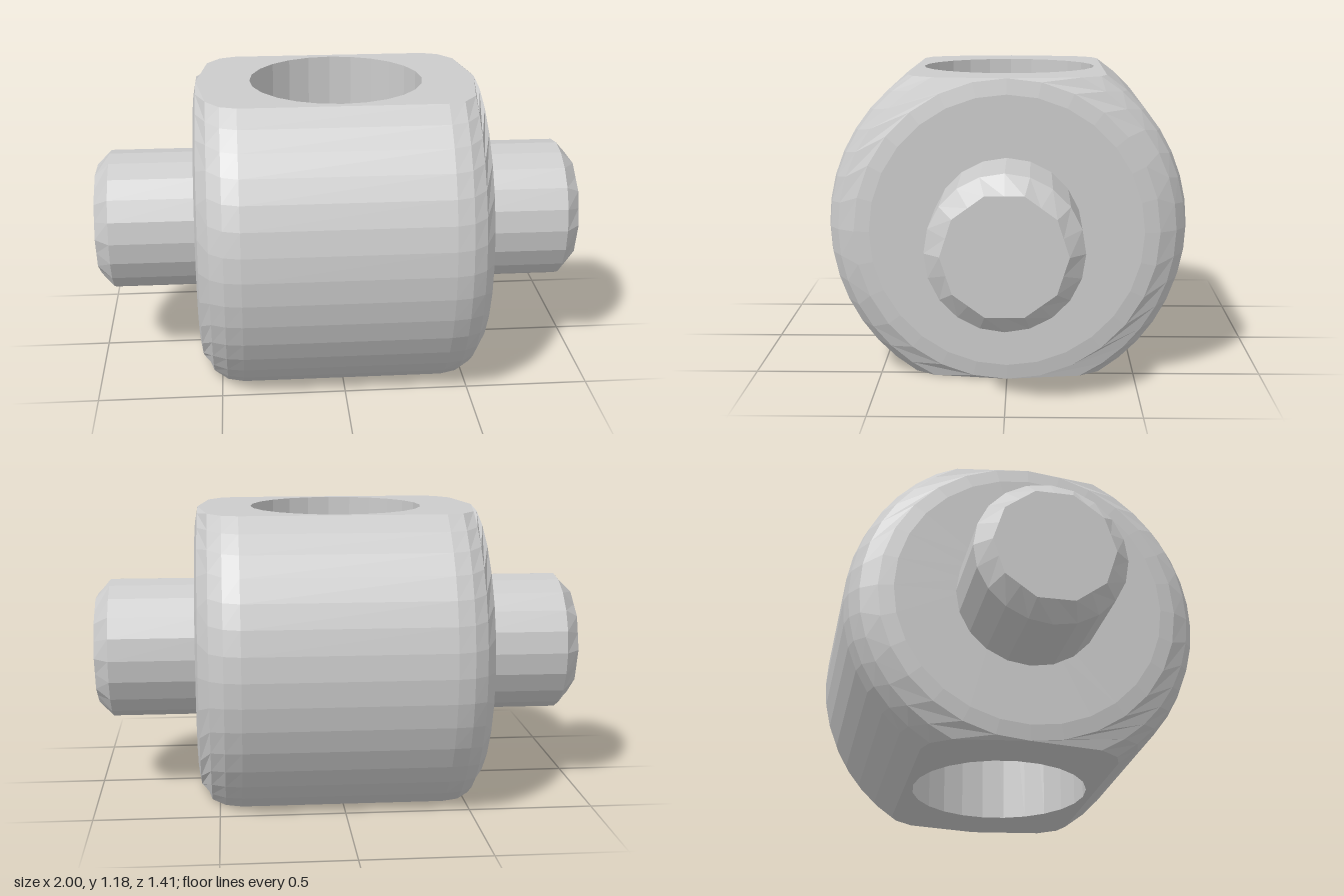
import * as THREE from 'three';

const AXIS_Y = 0.59;      // height of the pin axis, also half the distance between the flats
const FILLET = 0.175;
const FACE_R = 0.53;      // radius of the flat end face
const FILLET_X = 0.41;    // where the edge rounding starts
const BORE_R = 0.355;

// Half profile of the body as [x, radius]; one point lies exactly on the flats.
function bodyProfile() {
  const onFlat = Math.asin((AXIS_Y - FACE_R) / FILLET);
  const half = [[FILLET_X + FILLET, 0.25]];
  for (const a of [0, onFlat, 0.8, 1.18, Math.PI / 2]) {
    half.push([FILLET_X + FILLET * Math.cos(a), FACE_R + FILLET * Math.sin(a)]);
  }
  return [...half.map(([x, r]) => [-x, r]), ...half.reverse()];
}

// Front half of the barrel: every ring is swept only as far as the flats.
function barrelGeometry(profile, segments) {
  const positions = [], index = [], row = segments + 1;
  profile.forEach(([x, r], i) => {
    const limit = Math.asin(Math.min(1, AXIS_Y / r));
    for (let j = 0; j <= segments; j++) {
      const a = limit * (2 * j / segments - 1);
      positions.push(x, r * Math.sin(a), r * Math.cos(a));
      if (i && j) {
        const d = i * row + j, c = d - 1, b = d - row, e = b - 1;
        index.push(e, c, d, e, d, b);
      }
    }
  });
  const geometry = new THREE.BufferGeometry();
  geometry.setAttribute('position', new THREE.Float32BufferAttribute(positions, 3));
  geometry.setIndex(index);
  geometry.computeVertexNormals();
  return geometry;
}

// Flat face with the bore opening.
function flatGeometry(profile) {
  const edge = profile.filter(([, r]) => r > AXIS_Y - 1e-6)
    .map(([x, r]) => new THREE.Vector2(x, Math.sqrt(Math.max(0, r * r - AXIS_Y * AXIS_Y))));
  const back = edge.slice(1, -1).reverse().map(p => new THREE.Vector2(p.x, -p.y));
  const shape = new THREE.Shape([...edge, ...back]);
  shape.holes.push(new THREE.Path().absarc(0, 0, BORE_R, 0, Math.PI * 2, true));
  return new THREE.ShapeGeometry(shape, 12);
}

// Chamfered pin along +x; its 20 sides run out into a ten-sided end.
function pinGeometry() {
  const points = [[0.29, 0.55], [0.29, 0.94], [0.23, 1], [0, 1]].map(p => new THREE.Vector2(...p));
  const geometry = new THREE.LatheGeometry(points, 20);
  const pos = geometry.attributes.position;
  for (let i = 1; i < 20; i += 2) {
    const k = i * points.length + 2, s = Math.cos(Math.PI / 10);
    pos.setX(k, pos.getX(k) * s);
    pos.setZ(k, pos.getZ(k) * s);
  }
  return geometry.rotateZ(-Math.PI / 2);
}

export function createModel() {
  const model = new THREE.Group();
  model.name = 'crossPinBlock';
  const material = new THREE.MeshStandardMaterial({ color: 0xcccccc, flatShading: true });
  const add = (name, geometry) => {
    const mesh = new THREE.Mesh(geometry, material);
    mesh.name = name;
    mesh.position.y = AXIS_Y;
    model.add(mesh);
    return mesh;
  };

  // Barrel halves
  const profile = bodyProfile();
  const barrel = barrelGeometry(profile, 14);
  add('barrelFront', barrel);
  add('barrelBack', barrel).rotation.y = Math.PI;

  // Top and bottom flats
  const flat = flatGeometry(profile);
  const top = add('topFlat', flat);
  top.rotation.x = -Math.PI / 2;
  top.position.y = 2 * AXIS_Y;
  const bottom = add('bottomFlat', flat);
  bottom.rotation.x = Math.PI / 2;
  bottom.position.y = 0;

  // Bore wall, facing inward
  add('bore', new THREE.LatheGeometry(
    [new THREE.Vector2(BORE_R, AXIS_Y), new THREE.Vector2(BORE_R, -AXIS_Y)], 24));

  // Side pins
  const pin = pinGeometry();
  add('leftPin', pin);
  add('rightPin', pin).rotation.y = Math.PI;

  return model;
}
